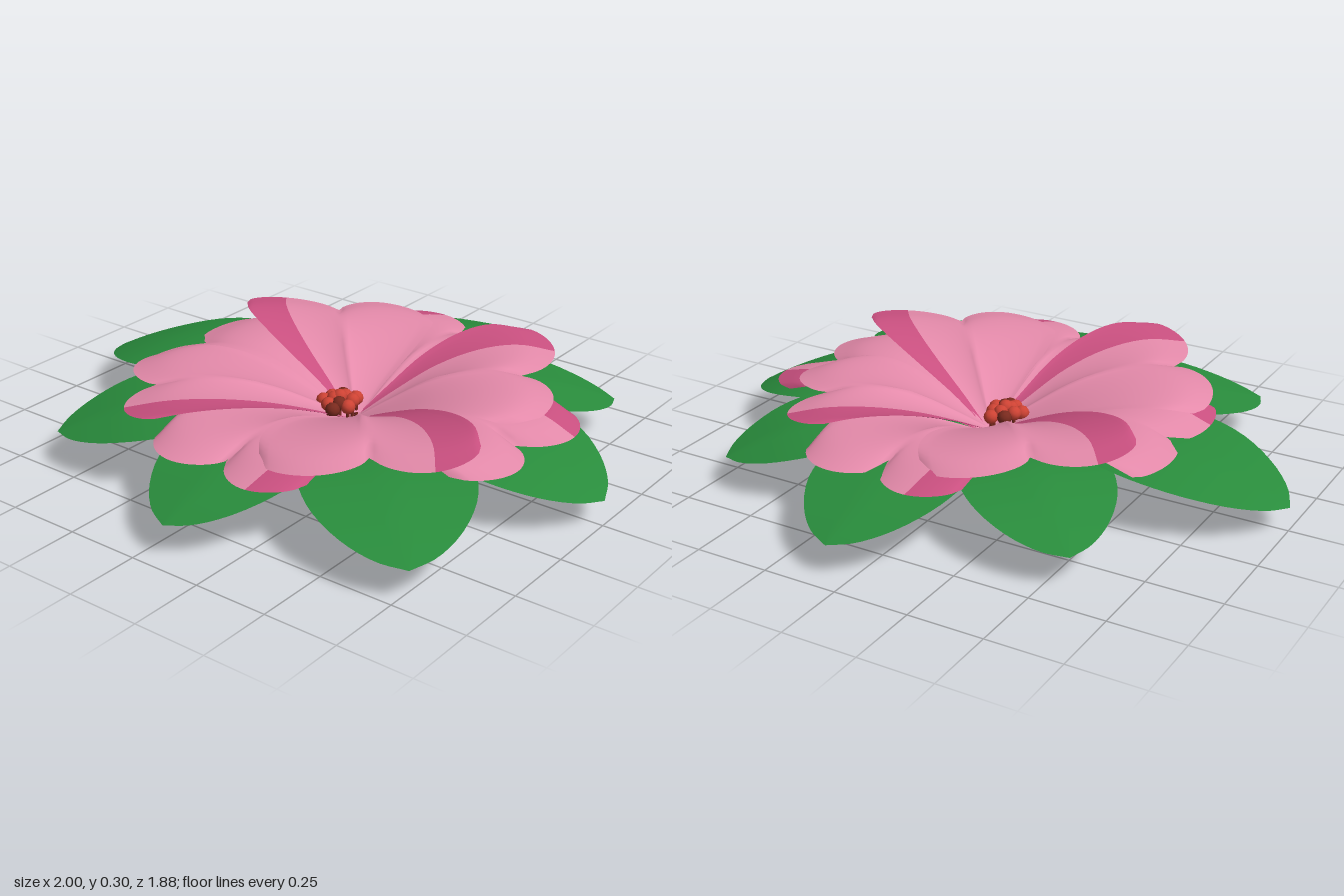
import * as THREE from 'three';

const mat = (name, color, side = THREE.FrontSide) => {
  const m = new THREE.MeshStandardMaterial({ color, side });
  m.name = name;
  return m;
};

// Grid surface over s (0..1 across) and v (0..1 along), facing up
function sheet(fn, ns, nv) {
  const pos = [], idx = [];
  for (let j = 0; j <= nv; j++) {
    for (let i = 0; i <= ns; i++) pos.push(...fn(i / ns, j / nv));
  }
  for (let j = 0; j < nv; j++) {
    for (let i = 0; i < ns; i++) {
      const a = j * (ns + 1) + i, b = a + 1, c = a + ns + 1, d = c + 1;
      idx.push(a, c, b, b, c, d);
    }
  }
  const g = new THREE.BufferGeometry();
  g.setAttribute('position', new THREE.Float32BufferAttribute(pos, 3));
  g.setIndex(idx);
  g.computeVertexNormals();
  return g;
}

// Smooth interpolation of [t, height, halfWidth] rows
function profile(rows) {
  const curve = new THREE.CatmullRomCurve3(rows.map(r => new THREE.Vector3(...r)));
  return t => curve.getPoint(t);
}

export function createModel() {
  const green = mat('leaf green', 0x298c3c, THREE.DoubleSide);
  const pink = mat('petal pink', 0xe48aaa, THREE.DoubleSide);
  const rose = mat('deep rose', 0xca5080, THREE.DoubleSide);
  const red = mat('stamen red', 0xcf4334);
  const maroon = mat('stamen maroon', 0x7a2a1e);

  const model = new THREE.Group();
  model.name = 'flower';
  const add = (parent, name, geo, material) => {
    const m = new THREE.Mesh(geo, material);
    m.name = name;
    parent.add(m);
    return m;
  };

  // Eight arched leaves around a pointed base: [angle in degrees, length, width factor, tip sag]
  const leafShape = profile([
    [0, 0.005, 0.018], [0.1, 0.085, 0.04], [0.24, 0.16, 0.098], [0.4, 0.207, 0.195], [0.52, 0.217, 0.25],
    [0.63, 0.211, 0.266], [0.76, 0.187, 0.24], [0.88, 0.152, 0.17], [0.96, 0.125, 0.085], [1, 0.11, 0]
  ]);
  const leaves = new THREE.Group();
  leaves.name = 'leaves';
  leaves.position.set(0.07, 0, 0);
  model.add(leaves);
  const leafList = [
    [0, 0.93, 1.02, 0.02], [45, 1.01, 1, 0], [90, 0.94, 0.92, 0], [135, 0.98, 1, 0],
    [180, 1.07, 1.03, 0.025], [225, 0.92, 0.9, 0], [270, 0.94, 0.92, 0], [315, 0.88, 0.88, 0]
  ];
  for (const [deg, len, wide, sag] of leafList) {
    const geo = sheet((s, v) => {
      const p = leafShape(v), u = 2 * s - 1;
      const droop = 0.05 * Math.abs(u) * p.z * Math.min(1, v * 3) + sag * v ** 3;
      return [p.x * len, p.y - droop, -u * p.z * wide];
    }, 10, 30);
    add(leaves, 'leaf', geo, green).rotation.y = -deg * Math.PI / 180;
  }

  // Two rings of four notched petals, each with a deep rose edge and a drooping tip
  const lower = profile([
    [0.03, 0.095, 0.025], [0.2, 0.15, 0.1], [0.4, 0.205, 0.19], [0.62, 0.24, 0.255], [0.82, 0.237, 0.295], [1, 0.2, 0.295]
  ]);
  const upper = profile([
    [0.03, 0.11, 0.025], [0.2, 0.168, 0.1], [0.4, 0.228, 0.195], [0.62, 0.268, 0.275], [0.82, 0.278, 0.32], [1, 0.258, 0.325]
  ]);
  const blossom = new THREE.Group();
  blossom.name = 'blossom';
  blossom.position.set(0.07, 0, 0.01);
  model.add(blossom);

  function petal(name, shape, skew, lift, sag, [deg, notch, reach]) {
    const g = new THREE.Group();
    g.name = name;
    g.rotation.y = -deg * Math.PI / 180;
    const surface = (u, v) => {
      const p = shape(v);
      // Two rounded lobes with a notch between them
      const length = notch + (reach - notch) * Math.pow(Math.abs(Math.sin(Math.PI * u)), 0.5) + skew * u;
      const curl = v * u * u * (u > 0 ? lift : -sag);
      return [p.x * length, p.y + curl, -u * p.z];
    };
    // The coloured edge widens toward the tip
    const split = v => 0.72 - 0.17 * v;
    add(g, 'petalFace', sheet((s, v) => surface(-1 + (1 + split(v)) * s, v), 36, 22), pink);
    add(g, 'petalEdge', sheet((s, v) => surface(split(v) + (1 - split(v)) * s, v), 12, 22), rose);
    blossom.add(g);
  }
  // [angle in degrees, notch radius, lobe radius]
  const lowerList = [[2.5, 0.61, 0.74], [90, 0.62, 0.745], [178, 0.655, 0.715], [273, 0.59, 0.705]];
  const upperList = [[49, 0.58, 0.705], [135, 0.63, 0.735], [227, 0.54, 0.655], [324, 0.52, 0.65]];
  for (const spec of lowerList) petal('lowerPetal', lower, 0.01, 0.01, 0, spec);
  for (const spec of upperList) petal('upperPetal', upper, 0.035, 0.035, 0.03, spec);

  // Small cluster of stamens in the middle
  const stamens = new THREE.Group();
  stamens.name = 'stamens';
  stamens.position.set(0.03, 0, 0.04);
  model.add(stamens);
  const head = new THREE.IcosahedronGeometry(0.025, 1);
  const stalk = new THREE.CylinderGeometry(0.006, 0.006, 0.08, 6);
  for (let i = 0; i < 12; i++) {
    const a = i * 2.4, r = 0.018 * Math.sqrt(i);
    const x = Math.cos(a) * r, z = Math.sin(a) * r * 1.1, y = 0.178 - r * 0.35;
    add(stamens, 'stamenHead', head, i % 4 === 3 ? maroon : red).position.set(x, y, z);
    add(stamens, 'stamenStalk', stalk, maroon).position.set(x, y - 0.04, z);
  }
  return model;
}
